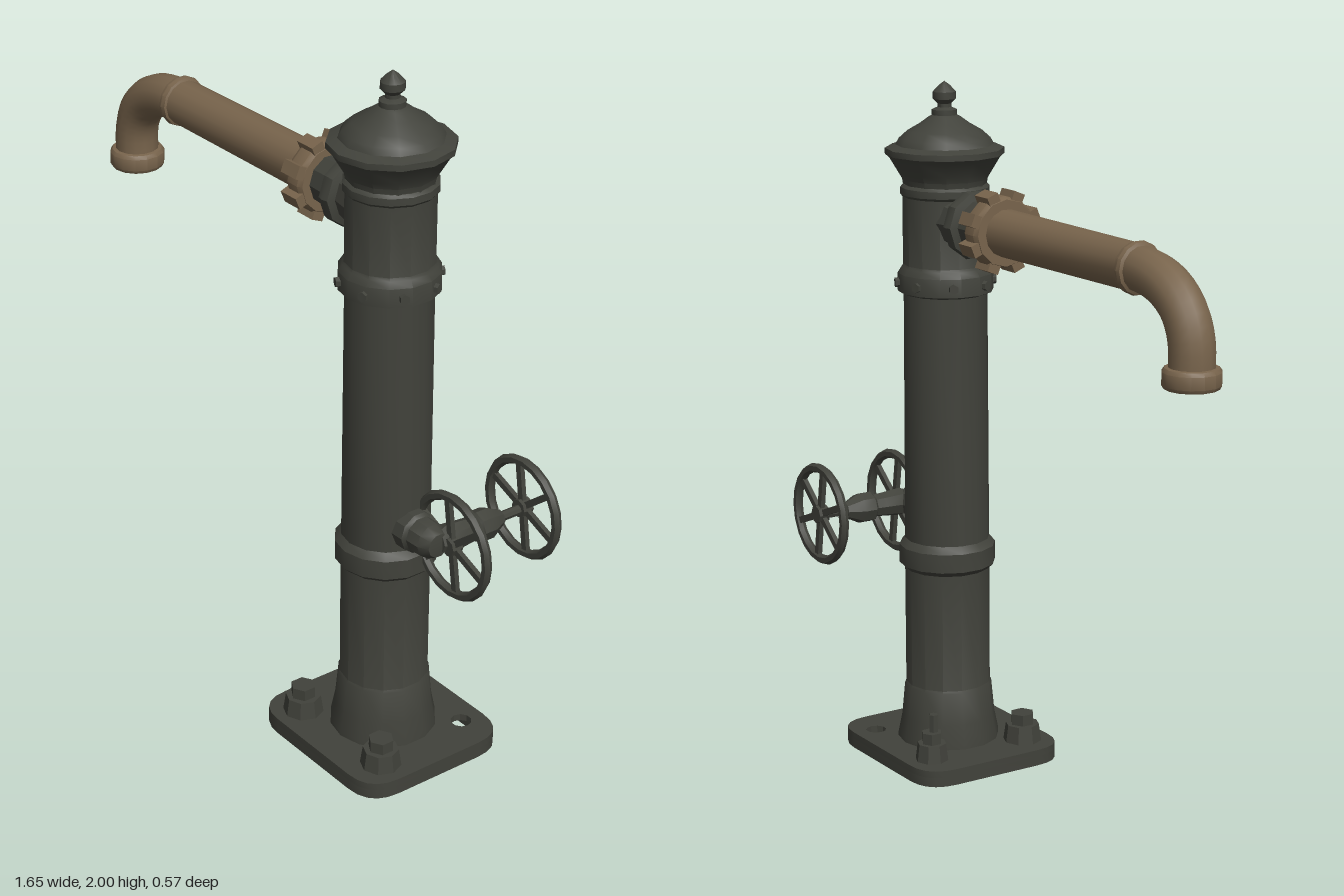
import * as THREE from 'three';
import { toCreasedNormals } from 'three/addons/utils/BufferGeometryUtils.js';

const iron = new THREE.MeshStandardMaterial({ color: 0x41423b });
iron.name = 'dark iron';
const brass = new THREE.MeshStandardMaterial({ color: 0x78644c });
brass.name = 'aged brass';
const inner = new THREE.MeshStandardMaterial({ color: 0x47504e });
inner.name = 'pipe interior';

const CX = 0.42, CZ = 0.037;   // column axis
const PY = 1.613, PZ = 0.037;  // spout axis

function add(parent, name, geo, mat, x = 0, y = 0, z = 0) {
  const mesh = new THREE.Mesh(toCreasedNormals(geo, 0.6), mat);
  mesh.name = name;
  mesh.position.set(x, y, z);
  parent.add(mesh);
  return mesh;
}

// Turned part from [radius, height] pairs, bottom to top
const lathe = (pts, sides) =>
  new THREE.LatheGeometry(pts.map(([r, y]) => new THREE.Vector2(r, y)), sides);

// Same, turned along +x; or along -z
const latheX = (pts, sides) => lathe(pts, sides).rotateZ(-Math.PI / 2);
const latheBack = (pts, sides) => lathe(pts, sides).rotateX(-Math.PI / 2);

function roundedRect(shape, w, d, r) {
  const a = w / 2, b = d / 2;
  shape.moveTo(a, -b + r);
  shape.lineTo(a, b - r);
  shape.quadraticCurveTo(a, b, a - r, b);
  shape.lineTo(-a + r, b);
  shape.quadraticCurveTo(-a, b, -a, b - r);
  shape.lineTo(-a, -b + r);
  shape.quadraticCurveTo(-a, -b, -a + r, -b);
  shape.lineTo(a - r, -b);
  shape.quadraticCurveTo(a, -b, a, -b + r);
  return shape;
}

function extrudeUp(shape, depth) {
  return new THREE.ExtrudeGeometry(shape, { depth, bevelEnabled: false, curveSegments: 5 })
    .rotateX(-Math.PI / 2);
}

function makeBase() {
  const g = new THREE.Group();
  g.name = 'base';
  // Plate with one empty bolt hole, over a hollow rim
  const top = roundedRect(new THREE.Shape(), 0.525, 0.48, 0.1);
  const hole = new THREE.Path();
  hole.absarc(0.15, 0.17, 0.03, 0, Math.PI * 2, true);
  top.holes.push(hole);
  add(g, 'basePlate', extrudeUp(top, 0.02), iron, 0.415, 0.028, 0.041);
  const rim = roundedRect(new THREE.Shape(), 0.525, 0.48, 0.1);
  rim.holes.push(roundedRect(new THREE.Path(), 0.46, 0.415, 0.08));
  add(g, 'baseRim', extrudeUp(rim, 0.028), iron, 0.415, 0, 0.041);

  // Washers, nuts and bolt ends
  const bolts = [[0.256, 0.194, 1], [0.59, 0.178, 1], [0.262, -0.118, 0.85]];
  for (const [x, z, s] of bolts) {
    add(g, 'washer', new THREE.CylinderGeometry(0.05 * s, 0.058 * s, 0.055, 8), iron, x, 0.072, z);
    add(g, 'nut', new THREE.CylinderGeometry(0.036 * s, 0.036 * s, 0.035, 6), iron, x, 0.115, z);
    add(g, 'boltEnd', new THREE.CylinderGeometry(0.022, 0.022, 0.025, 8), iron, x, 0.018, z);
  }
  add(g, 'stud', new THREE.CylinderGeometry(0.014, 0.014, 0.06, 6), iron, 0.262, 0.155, -0.112);
  return g;
}

function makeColumn() {
  const g = new THREE.Group();
  g.name = 'column';
  g.position.set(CX, 0, CZ);
  add(g, 'shaft', lathe([
    [0, 0.008], [0.15, 0.008], [0.15, 0.06], [0.138, 0.12], [0.129, 0.215], [0.125, 0.222],
    [0.125, 0.575], [0.141, 0.59], [0.141, 0.645], [0.124, 0.665],
    [0.121, 1.395], [0.138, 1.402], [0.138, 1.455], [0.127, 1.472], [0.122, 1.48],
    [0.122, 1.675], [0.128, 1.682], [0.128, 1.702], [0.12, 1.71], [0, 1.71],
  ], 14), iron);
  // Flared cap, dome and finial
  add(g, 'cap', lathe([
    [0.118, 1.7], [0.122, 1.725], [0.134, 1.745], [0.158, 1.785], [0.17, 1.795], [0.17, 1.812],
    [0.14, 1.822], [0.13, 1.84], [0.105, 1.862], [0.07, 1.882], [0.045, 1.9], [0.036, 1.905],
    [0.036, 1.92], [0.02, 1.927], [0.02, 1.937], [0.033, 1.95], [0.033, 1.97],
    [0.016, 1.988], [0, 2],
  ], 12), iron);
  // Studs around the upper collar
  for (let i = 0; i < 8; i++) {
    const a = (i + 0.5) * Math.PI / 4;
    const stud = add(g, 'collarStud', new THREE.CylinderGeometry(0.014, 0.014, 0.02, 6).rotateX(Math.PI / 2),
      iron, Math.sin(a) * 0.137, 1.428, Math.cos(a) * 0.137);
    stud.rotation.y = a;
  }
  return g;
}

function makeSpout() {
  const g = new THREE.Group();
  g.name = 'spout';
  g.position.set(0, PY, PZ);
  // Iron socket with flange
  add(g, 'socket', latheX([
    [0, 0.15], [0.07, 0.15], [0.074, 0.235], [0.096, 0.24], [0.1, 0.258], [0.096, 0.276],
    [0.075, 0.282], [0.085, 0.34],
  ], 10), iron);
  // Brass coupling ring with lugs
  add(g, 'coupling', latheX([
    [0, 0.098], [0.094, 0.098], [0.102, 0.112], [0.102, 0.153], [0.094, 0.167], [0, 0.167],
  ], 12), brass);
  for (let i = 0; i < 8; i++) {
    const a = (i + 0.5) * Math.PI / 4;
    const lug = add(g, 'couplingLug', new THREE.BoxGeometry(0.066, 0.026, 0.036), brass,
      0.133, Math.cos(a) * 0.104, Math.sin(a) * 0.104);
    lug.rotation.x = a;
  }
  // Straight pipe and joint ring, drifting slightly forward
  const arm = new THREE.Group();
  arm.name = 'arm';
  arm.rotation.y = 0.012;
  g.add(arm);
  add(arm, 'pipe', latheX([[0.064, -0.52], [0.067, 0.12]], 14), brass);
  add(arm, 'jointRing', latheX([
    [0.058, -0.532], [0.07, -0.526], [0.073, -0.515], [0.07, -0.502], [0.06, -0.497],
  ], 14), brass);
  // Elbow and mouth
  const bend = new THREE.CurvePath();
  const v = (x, y) => new THREE.Vector3(x, y, 0);
  bend.add(new THREE.CubicBezierCurve3(v(-0.515, 0), v(-0.65, 0), v(-0.748, -0.07), v(-0.748, -0.19)));
  bend.add(new THREE.LineCurve3(v(-0.748, -0.19), v(-0.748, -0.235)));
  add(arm, 'elbow', new THREE.TubeGeometry(bend, 14, 0.062, 14), brass);
  add(arm, 'mouthRing', lathe([
    [0.056, -0.25], [0.056, -0.272], [0.073, -0.272], [0.079, -0.262], [0.079, -0.228],
    [0.072, -0.218], [0.06, -0.216],
  ], 14), brass, -0.748);
  add(arm, 'mouthInside', new THREE.CylinderGeometry(0.058, 0.058, 0.008, 14), inner, -0.748, -0.252);
  return g;
}

// Six-spoked wheel lying in the xy plane
function makeWheel(name, x, y, z, radius) {
  const g = new THREE.Group();
  g.name = name;
  g.position.set(x, y, z);
  add(g, 'rim', new THREE.TorusGeometry(radius - 0.014, 0.014, 6, 20), iron);
  add(g, 'hub', new THREE.CylinderGeometry(0.026, 0.026, 0.034, 8).rotateX(Math.PI / 2), iron);
  for (let i = 0; i < 6; i++) {
    const spoke = new THREE.BoxGeometry(0.019, radius - 0.03, 0.014);
    spoke.translate(0, (radius - 0.02) / 2, 0);
    add(g, 'spoke', spoke, iron).rotation.z = i * Math.PI / 3 + 0.15;
  }
  return g;
}

function makeValve() {
  const g = new THREE.Group();
  g.name = 'valve';
  // Stub leaving the column, then a body running back to the stem
  add(g, 'stub', latheX([
    [0.06, 0.5], [0.06, 0.565], [0.052, 0.575], [0.05, 0.62], [0.035, 0.65], [0, 0.655],
  ], 10), iron, 0, 0.725, 0.04);
  add(g, 'body', latheBack([
    [0, -0.03], [0.03, -0.03], [0.042, 0], [0.036, 0.06], [0.034, 0.09], [0.045, 0.1],
    [0.045, 0.14], [0.03, 0.17], [0.024, 0.185], [0.014, 0.19], [0.014, 0.285], [0, 0.285],
  ], 8), iron, 0.633, 0.725, 0);
  g.add(makeWheel('frontWheel', 0.664, 0.72, 0.006, 0.157));
  g.add(makeWheel('rearWheel', 0.632, 0.728, -0.268, 0.152));
  return g;
}

export function createModel() {
  const model = new THREE.Group();
  model.name = 'waterPump';
  model.add(makeBase(), makeColumn(), makeSpout(), makeValve());
  return model;
}
